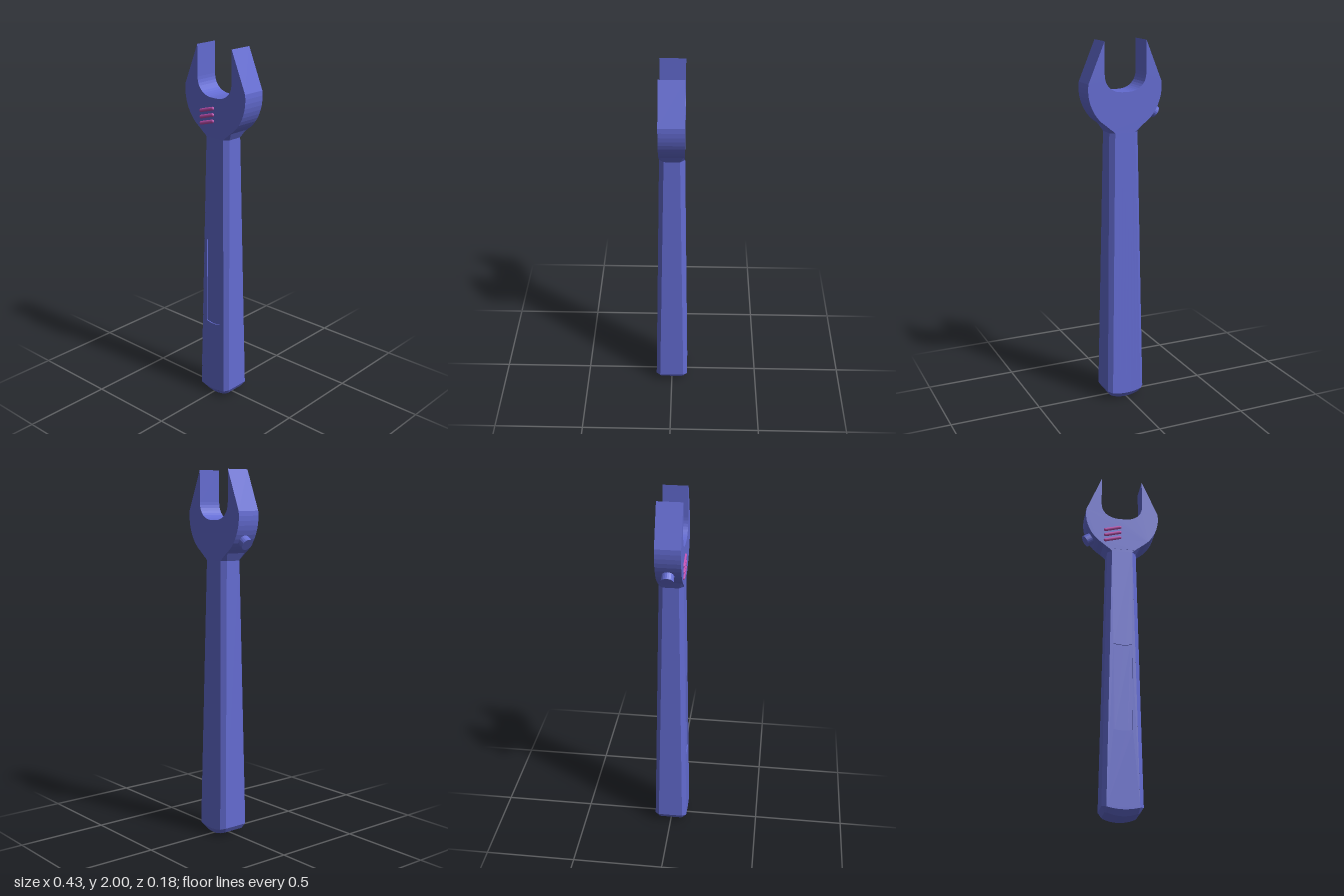
import * as THREE from 'three';

const CX = 0.005; // the wrench body sits slightly to +x because of the pin
const N = 8;      // samples across the front and back faces

// Chamfered-rectangle cross-section; the sag lifts the sides to give a curved foot
function ring(y, sag, hx, hz, c) {
  const a = hx - c, b = hz - c, pts = [];
  const add = (x, z) => pts.push(new THREE.Vector3(CX + x, y + sag * (x / hx) ** 2, z));
  for (let i = 0; i <= N; i++) add(-a + (2 * a * i) / N, hz);
  add(hx, b);
  add(hx, -b);
  for (let i = 0; i <= N; i++) add(a - (2 * a * i) / N, -hz);
  add(-hx, -b);
  add(-hx, b);
  return pts;
}

const rings = [
  ring(0, 0.02, 0.09, 0.069, 0.01),
  ring(0.03, 0.018, 0.1075, 0.091, 0.022),
  ring(1.52, 0, 0.082, 0.066, 0.024),
  ring(1.575, 0, 0.115, 0.0655, 0.001),
];
const frontZ = y => 0.091 - (0.025 * (y - 0.03)) / 1.49;

// Loft through the rings, leaving the long front face open for the panel plate
function handleGeometry() {
  const pos = [];
  const tri = (...v) => v.forEach(p => pos.push(p.x, p.y, p.z));
  const n = rings[0].length;
  for (let r = 0; r < rings.length - 1; r++) {
    for (let i = 0; i < n; i++) {
      if (r === 1 && i < N) continue;
      const j = (i + 1) % n, lo = rings[r], hi = rings[r + 1];
      tri(lo[i], lo[j], hi[j]);
      tri(lo[i], hi[j], hi[i]);
    }
  }
  // Curved underside, joined front to back in strips
  const f = rings[0];
  for (let i = 0; i < N; i++) {
    const back = k => f[N + 3 + N - k];
    tri(f[i], back(i), back(i + 1));
    tri(f[i], back(i + 1), f[i + 1]);
  }
  tri(f[N], f[N + 3], f[N + 2]);
  tri(f[N], f[N + 2], f[N + 1]);
  tri(f[0], f[n - 1], f[n - 2]);
  tri(f[0], f[n - 2], f[2 * N + 3]);
  const g = new THREE.BufferGeometry();
  g.setAttribute('position', new THREE.Float32BufferAttribute(pos, 3));
  g.computeVertexNormals();
  return g;
}

// Lean a flat geometry onto the tapered front of the handle
function lean(g, offset) {
  const p = g.attributes.position;
  for (let i = 0; i < p.count; i++) p.setZ(i, p.getZ(i) + frontZ(p.getY(i)) - offset);
  g.computeVertexNormals();
  return g;
}

function panelOutline(path) {
  path.moveTo(-0.045, 0.452);
  path.quadraticCurveTo(0.006, 0.438, 0.057, 0.452);
  path.lineTo(0.057, 0.942);
  path.quadraticCurveTo(0.006, 0.928, -0.045, 0.942);
  path.closePath();
  return path;
}

// Open jaw outline
function headShape() {
  const s = new THREE.Shape();
  s.moveTo(-0.115, 2);
  s.lineTo(-0.203, 1.785);
  s.bezierCurveTo(-0.215, 1.7, -0.175, 1.61, -0.11, 1.568);
  s.lineTo(-0.07, 1.535);
  s.lineTo(0.08, 1.535);
  s.lineTo(0.12, 1.568);
  s.bezierCurveTo(0.185, 1.61, 0.225, 1.7, 0.213, 1.785);
  s.lineTo(0.122, 2);
  s.lineTo(0.122, 1.83);
  s.bezierCurveTo(0.122, 1.77, 0.08, 1.735, 0.02, 1.735);
  s.lineTo(-0.012, 1.735);
  s.bezierCurveTo(-0.07, 1.735, -0.115, 1.77, -0.115, 1.83);
  s.closePath();
  return s;
}

export function createModel() {
  const group = new THREE.Group();
  group.name = 'wrench';
  const blue = new THREE.MeshStandardMaterial({ color: 0x636bd1, flatShading: true });
  const pink = new THREE.MeshStandardMaterial({ color: 0xc04fb0 });
  const add = (name, geo, mat) => {
    const m = new THREE.Mesh(geo, mat);
    m.name = name;
    group.add(m);
    return m;
  };

  // Handle
  add('handle', handleGeometry(), blue);

  // Front plate with the sunken panel cut through it
  const depth = 0.006;
  const plate = new THREE.Shape(rings[1].slice(0, N + 1).map(p => new THREE.Vector2(p.x, p.y)));
  plate.lineTo(rings[2][N].x, rings[2][N].y);
  plate.lineTo(rings[2][0].x, rings[2][0].y);
  plate.closePath();
  plate.holes.push(panelOutline(new THREE.Path()));
  add('handleFront', lean(new THREE.ExtrudeGeometry(plate, { depth, bevelEnabled: false }), depth), blue);
  add('panelFloor', lean(new THREE.ShapeGeometry(panelOutline(new THREE.Shape())), depth), blue);

  // Head with open jaws
  const head = new THREE.ExtrudeGeometry(headShape(), { depth: 0.134, bevelEnabled: false, curveSegments: 10 });
  add('head', head.translate(0, 0, -0.067), blue);

  // Slanted ridges of the adjusting screw
  for (let i = 0; i < 3; i++) {
    const ridge = add('screwRidge', new THREE.CapsuleGeometry(0.01, 0.086, 4, 10), pink);
    ridge.position.set(-0.05, 1.599 + i * 0.034, 0.066);
    ridge.rotation.z = -Math.PI / 2 + 0.27;
  }

  // Pin on the side of the head
  const out = new THREE.Vector3(-0.83, -0.56, 0).normalize();
  const pin = add('pin', new THREE.CylinderGeometry(0.033, 0.033, 0.07, 20), blue);
  pin.quaternion.setFromUnitVectors(new THREE.Vector3(0, 1, 0), out);
  pin.position.set(-0.198, 1.609, -0.003).addScaledVector(out, -0.035);

  return group;
}
